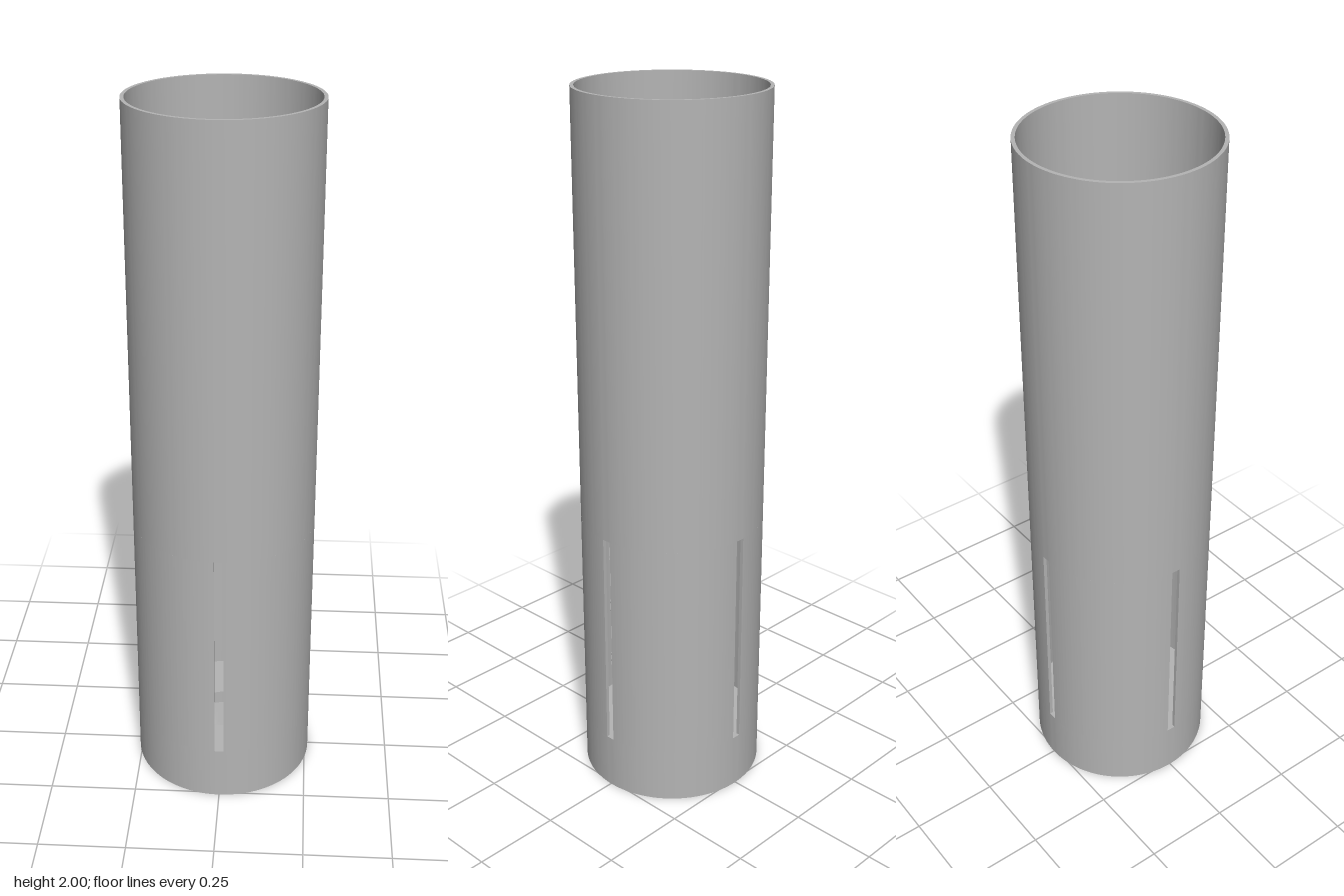
import * as THREE from 'three';
import { toCreasedNormals } from 'three/addons/utils/BufferGeometryUtils.js';

const OUTER = 0.26, INNER = 0.25, HOLE = 0.085;
const SLOT_LOW = 0.16, SLOT_HIGH = 0.8, SLOT_HALF = 0.013;

// Extrude a flat shape upward from y0 to y1, smooth around the curve
function extrudeUp(shape, y0, y1) {
  const geometry = new THREE.ExtrudeGeometry(shape, {
    depth: y1 - y0, bevelEnabled: false, curveSegments: 96,
  });
  geometry.rotateX(-Math.PI / 2).translate(0, y0, 0);
  return toCreasedNormals(geometry, 0.5);
}

function ring(outer, inner) {
  const shape = new THREE.Shape().absarc(0, 0, outer, 0, Math.PI * 2, false);
  shape.holes.push(new THREE.Path().absarc(0, 0, inner, 0, Math.PI * 2, true));
  return shape;
}

// Quarter of the wall, leaving half a parallel-sided slot at each end
function quarterWall() {
  const a = Math.asin(SLOT_HALF / OUTER), b = Math.asin(SLOT_HALF / INNER);
  const shape = new THREE.Shape();
  shape.absarc(0, 0, OUTER, a, Math.PI / 2 - a, false);
  shape.absarc(0, 0, INNER, Math.PI / 2 - b, b, true);
  shape.closePath();
  return shape;
}

export function createModel() {
  const model = new THREE.Group();
  model.name = 'slottedTube';
  const grey = new THREE.MeshStandardMaterial({ color: 0xb4b4b4 });
  grey.name = 'grey';

  const add = (name, geometry) => {
    const mesh = new THREE.Mesh(geometry, grey);
    mesh.name = name;
    model.add(mesh);
    return mesh;
  };

  // Tube wall below and above the slots
  add('lowerWall', extrudeUp(ring(OUTER, INNER), 0, SLOT_LOW));
  add('upperWall', extrudeUp(ring(OUTER, INNER), SLOT_HIGH, 2));

  // Four wall quarters between the slots
  const quarter = extrudeUp(quarterWall(), SLOT_LOW, SLOT_HIGH);
  for (let i = 0; i < 4; i++) {
    add('slottedWall' + (i + 1), quarter).rotation.y = i * Math.PI / 2;
  }

  // Recessed floor with a round hole
  add('floorDisc', extrudeUp(ring(INNER, HOLE), 0.08, 0.12));

  return model;
}
